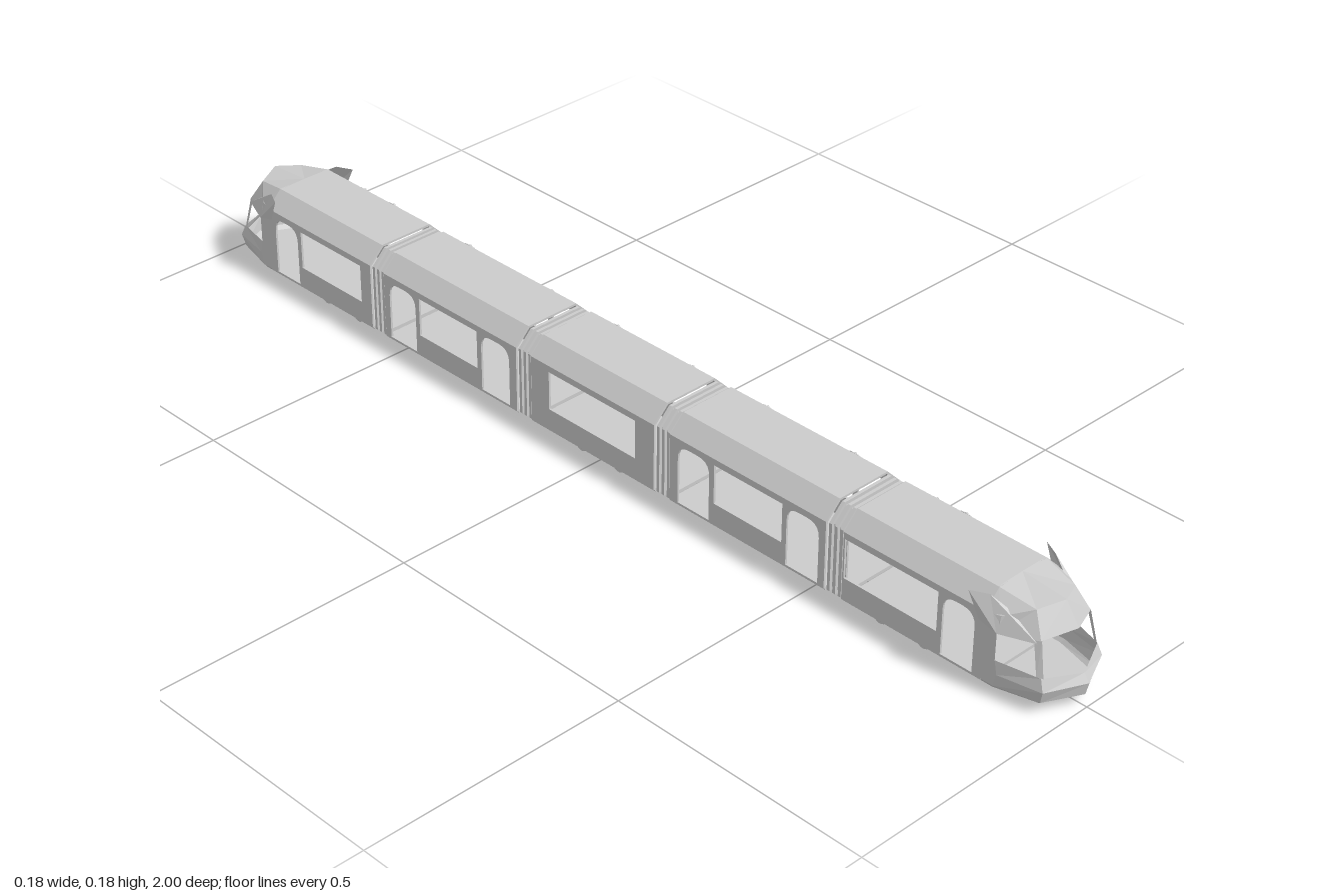
import * as THREE from 'three';

const mat = new THREE.MeshStandardMaterial({ color: 0xcccccc, flatShading: true, side: THREE.DoubleSide });
const W = 0.085; // half width of the body

function add(parent, name, geo, x = 0, y = 0, z = 0) {
  const m = new THREE.Mesh(geo, mat);
  m.name = name;
  m.position.set(x, y, z);
  parent.add(m);
  return m;
}

// Faceted skin through rows of points, optionally mirrored across x = 0
function patch(rows) {
  const pos = [];
  for (const s of [1, -1]) {
    const P = (r, c) => [rows[r][c][0] * s, rows[r][c][1], rows[r][c][2]];
    for (let r = 0; r < rows.length - 1; r++) for (let c = 0; c < rows[r].length - 1; c++) {
      const a = P(r, c), b = P(r + 1, c), d = P(r + 1, c + 1), e = P(r, c + 1);
      const q = s > 0 ? [a, b, d, a, d, e] : [a, d, b, a, e, d];
      q.forEach(p => pos.push(...p));
    }
  }
  const g = new THREE.BufferGeometry();
  g.setAttribute('position', new THREE.Float32BufferAttribute(pos, 3));
  g.computeVertexNormals();
  return g;
}

const poly = (pts, C = THREE.Shape) => new C(pts.map(p => new THREE.Vector2(p[0], p[1])));
const extrude = (shape, depth) => new THREE.ExtrudeGeometry(shape, { depth, bevelEnabled: false, curveSegments: 5 });

function rectHole(z0, z1, y0, y1) {
  return poly([[z0, y0], [z0, y1], [z1, y1], [z1, y0]], THREE.Path);
}
function archHole(z0, z1) {
  const p = new THREE.Path(), y0 = 0.024, y1 = 0.136, r = 0.026;
  p.moveTo(z0, y0);
  p.lineTo(z0, y1 - r);
  p.quadraticCurveTo(z0, y1, z0 + r, y1);
  p.lineTo(z1 - r, y1);
  p.quadraticCurveTo(z1, y1, z1, y1 - r);
  p.lineTo(z1, y0);
  p.closePath();
  return p;
}

// One passenger section: pierced side walls, chamfered roof, floor
function car(name, z0, z1, doors, windows) {
  const g = new THREE.Group();
  g.name = name;
  const wall = poly([[z0, 0.02], [z1, 0.02], [z1, 0.148], [z0, 0.148]]);
  doors.forEach(d => wall.holes.push(archHole(...d)));
  windows.forEach(w => wall.holes.push(rectHole(w[0], w[1], 0.062, 0.136)));
  const wg = extrude(wall, 0.004).rotateY(-Math.PI / 2);
  add(g, 'leftWall', wg, W);
  add(g, 'rightWall', wg, -W + 0.004);
  const roof = poly([[-W, 0.148], [-0.055, 0.178], [0.055, 0.178], [W, 0.148],
    [0.08, 0.147], [0.053, 0.174], [-0.053, 0.174], [-0.08, 0.147]]);
  add(g, 'roof', extrude(roof, z1 - z0), 0, 0, z0);
  const floor = poly([[-0.08, 0.015], [0.08, 0.015], [W, 0.022], [-W, 0.022]]);
  add(g, 'floor', extrude(floor, z1 - z0), 0, 0, z0);
  return g;
}

// Ribbed joint between two sections
function bellows(z) {
  const g = new THREE.Group();
  g.name = 'bellows';
  const outline = k => [[-W + k, 0.016 + k], [W - k, 0.016 + k], [W - k, 0.148 - k * 0.4],
    [0.055 - k * 0.4, 0.178 - k], [-0.055 + k * 0.4, 0.178 - k], [-W + k, 0.148 - k * 0.4]];
  const ring = (k, d) => {
    const s = poly(outline(k));
    s.holes.push(poly(outline(0.013).reverse(), THREE.Path));
    return extrude(s, d);
  };
  add(g, 'core', ring(0.009, 0.038), 0, 0, z - 0.019);
  for (const o of [-0.012, 0, 0.012]) add(g, 'rib', ring(0.003, 0.006), 0, 0, z + o - 0.003);
  return g;
}

// Driver's end, built facing +z
function cab(name) {
  const g = new THREE.Group();
  g.name = name;
  add(g, 'nose', patch([
    [[0, 0.066, 0.988], [0.066, 0.066, 0.96], [W, 0.07, 0.885], [W, 0.07, 0.858]],
    [[0, 0.045, 1], [0.07, 0.045, 0.968], [W, 0.045, 0.89], [W, 0.045, 0.858]],
    [[0, 0.022, 0.995], [0.066, 0.022, 0.962], [W, 0.022, 0.885], [W, 0.022, 0.858]],
    [[0, 0.015, 0.985], [0.06, 0.015, 0.955], [0.08, 0.015, 0.88], [0.08, 0.015, 0.858]]
  ].map((r, i) => (i === 0 ? [[0, 0.06, 0.99], ...r.slice(1)] : r))));
  add(g, 'cabFloor', patch([
    [[0, 0.016, 0.858], [0.08, 0.016, 0.858]], [[0, 0.016, 0.88], [0.08, 0.016, 0.88]],
    [[0, 0.016, 0.955], [0.06, 0.016, 0.955]], [[0, 0.016, 0.985], [0, 0.016, 0.985]]]));
  add(g, 'cabRoof', patch([
    [[0, 0.179, 0.858], [0.055, 0.178, 0.858], [W, 0.148, 0.858], [W, 0.12, 0.858]],
    [[0, 0.172, 0.945], [0.045, 0.165, 0.925], [0.077, 0.148, 0.885], [W, 0.12, 0.882]],
    [[0, 0.133, 0.972], [0.058, 0.125, 0.948], [W, 0.12, 0.885], [W, 0.12, 0.885]]]));
  // Posts either side of the cab side window
  add(g, 'rearPost', patch([
    [[W, 0.12, 0.858], [W, 0.12, 0.885]], [[W, 0.07, 0.858], [W, 0.07, 0.885]]]));
  add(g, 'frontPost', patch([
    [[0.057, 0.126, 0.949], [0.062, 0.124, 0.938]], [[0.063, 0.065, 0.962], [0.068, 0.066, 0.952]]]));
  // Flared panel on each roof shoulder
  add(g, 'shoulderFin', patch([
    [[0.091, 0.175, 0.83], [0.076, 0.175, 0.86], [0.06, 0.15, 0.9]],
    [[0.087, 0.13, 0.85], [0.086, 0.12, 0.885], [0.062, 0.12, 0.945]]]));
  return g;
}

// Small five-petalled ornament lying in the xy plane
function flower(r) {
  const g = new THREE.Group();
  g.name = 'flower';
  for (let i = 0; i < 5; i++) {
    const a = i * Math.PI * 0.4;
    const p = add(g, 'petal', new THREE.SphereGeometry(r * 0.42, 6, 4), Math.cos(a) * r * 0.58, Math.sin(a) * r * 0.58, 0.0005);
    p.scale.z = 0.3;
  }
  add(g, 'flowerCentre', new THREE.SphereGeometry(r * 0.28, 6, 4), 0, 0, 0.001);
  return g;
}

export function createModel() {
  const tram = new THREE.Group();
  tram.name = 'tram';

  tram.add(
    car('frontCar', 0.572, 0.86, [[0.778, 0.842]], [[0.575, 0.768]]),
    car('secondCar', 0.187, 0.534, [[0.45, 0.52], [0.205, 0.277]], [[0.288, 0.44]]),
    car('middleCar', -0.149, 0.149, [], [[-0.105, 0.105]]),
    car('fourthCar', -0.534, -0.187, [[-0.52, -0.45], [-0.277, -0.205]], [[-0.44, -0.288]]),
    car('rearCar', -0.86, -0.572, [[-0.842, -0.778]], [[-0.768, -0.6]]));
  for (const z of [0.553, 0.168, -0.168, -0.553]) tram.add(bellows(z));

  const rear = cab('rearCab');
  rear.rotation.y = Math.PI;
  tram.add(cab('frontCab'), rear);

  // Wheels in three pairs of axles
  const wheel = new THREE.CylinderGeometry(0.014, 0.014, 0.007, 14).rotateZ(Math.PI / 2);
  for (const z of [0.73, 0.64, 0.047, -0.043, -0.633, -0.722])
    for (const s of [1, -1]) add(tram, 'wheel', wheel, s * 0.065, 0.014, z);

  // Flowers along the left side: [z, y]; high ones lie on the roof chamfer
  const spots = [[0.86, 0.1], [0.735, 0.05], [0.685, 0.163], [0.62, 0.157], [0.605, 0.05], [0.45, 0.163],
    [0.37, 0.048], [0.325, 0.04], [0.25, 0.157], [0.22, 0.045], [0.075, 0.157], [-0.075, 0.045],
    [-0.1, 0.163], [-0.145, 0.055], [-0.213, 0.04], [-0.273, 0.157], [-0.445, 0.085], [-0.48, 0.163],
    [-0.61, 0.05], [-0.69, 0.163], [-0.738, 0.05], [-0.855, 0.11], [-0.78, 0.157]];
  spots.forEach(([z, y], i) => {
    const f = flower(0.009 + (i % 3) * 0.0015);
    const high = y > 0.148;
    f.position.set(high ? W + 0.148 - y + 0.001 : W + 0.001, y, z);
    f.rotation.set(0, Math.PI / 2, 0);
    if (high) f.rotateX(-Math.PI / 4);
    f.rotateZ(i * 1.3);
    tram.add(f);
  });
  return tram;
}
